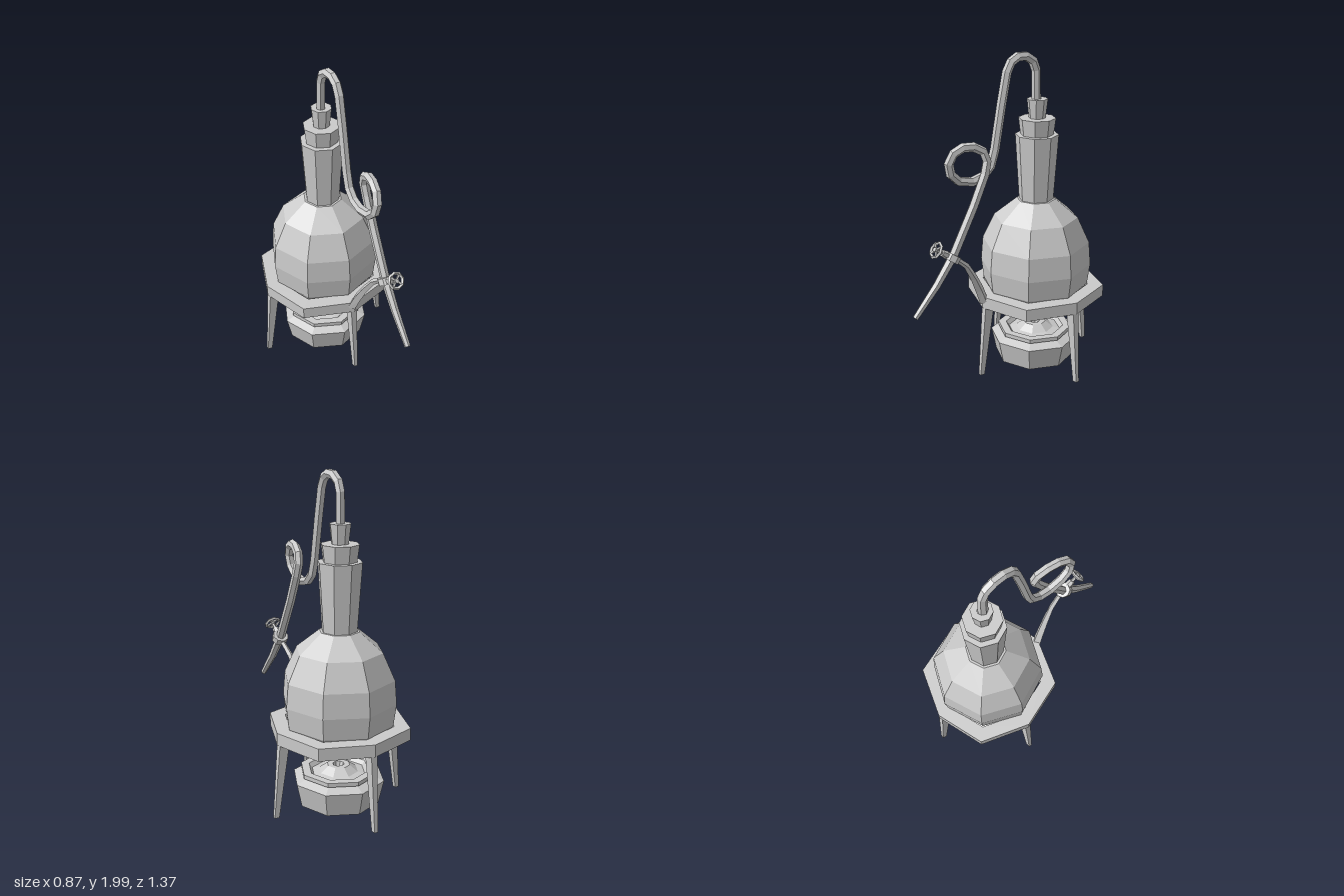
import * as THREE from 'three';

const mat = new THREE.MeshStandardMaterial({ color: 0xcccccc, flatShading: true, side: THREE.DoubleSide });
const AXIS_Z = -0.25;

function add(parent, name, geometry, x = 0, y = 0, z = 0) {
  const mesh = new THREE.Mesh(geometry, mat);
  mesh.name = name;
  mesh.position.set(x, y, z);
  parent.add(mesh);
  return mesh;
}

// Eight-sided turned part, profile given as [radius, height] from the bottom up
function turned(profile) {
  return new THREE.LatheGeometry(profile.map(([r, y]) => new THREE.Vector2(r, y)), 8);
}

// Faceted tube passing exactly through its points, with a radius at each one
function sweep(points, radiusAt, sides) {
  const pts = points.map((p) => new THREE.Vector3(...p));
  const curve = new THREE.CatmullRomCurve3(pts);
  curve.getPointAt = curve.getPoint;
  curve.getTangentAt = curve.getTangent;
  const geo = new THREE.TubeGeometry(curve, pts.length - 1, 1, sides);
  const pos = geo.attributes.position;
  const v = new THREE.Vector3();
  for (let i = 0; i < pos.count; i++) {
    const row = Math.floor(i / (sides + 1));
    v.fromBufferAttribute(pos, i).sub(pts[row]).multiplyScalar(radiusAt(row)).add(pts[row]);
    pos.setXYZ(i, v.x, v.y, v.z);
  }
  return geo;
}

// Octagon with separate radii on the axes and on the diagonals
function octagon(onAxis, onDiagonal) {
  return Array.from({ length: 8 }, (_, i) => {
    const r = i % 2 ? onDiagonal : onAxis;
    const a = (i * Math.PI) / 4;
    return new THREE.Vector2(r * Math.cos(a), r * Math.sin(a));
  });
}

export function createModel() {
  const model = new THREE.Group();
  model.name = 'distillingApparatus';

  const column = new THREE.Group();
  column.name = 'flaskAndStand';
  column.position.z = AXIS_Z;
  model.add(column);

  // Flask with its flared neck
  add(column, 'flask', turned([
    [0, 0.385], [0.17, 0.385], [0.265, 0.435], [0.33, 0.54], [0.346, 0.67], [0.334, 0.815],
    [0.26, 0.975], [0.12, 1.09], [0.106, 1.09], [0.132, 1.495], [0.1, 1.495], [0.09, 1.44],
  ]));

  // Stopper and the sleeve that holds the tube
  add(column, 'stopper', turned([[0, 1.43], [0.092, 1.43], [0.113, 1.595], [0, 1.595]]));
  add(column, 'sleeve', turned([[0.05, 1.59], [0.063, 1.71], [0.025, 1.71]]));

  // Stand ring
  const ring = new THREE.Shape(octagon(0.408, 0.432));
  ring.holes.push(new THREE.Path(octagon(0.32, 0.335)));
  const ringGeo = new THREE.ExtrudeGeometry(ring, { depth: 0.075, bevelEnabled: false });
  add(column, 'standRing', ringGeo.rotateX(-Math.PI / 2), 0, 0.458, 0);

  // Four tapered, splayed legs
  for (let i = 0; i < 4; i++) {
    const geo = new THREE.BoxGeometry(1, 1, 1);
    const pos = geo.attributes.position;
    for (let j = 0; j < pos.count; j++) {
      const top = pos.getY(j) > 0;
      const depth = pos.getX(j) * (top ? 0.058 : 0.028);
      // the leg is a little wider on its inner face
      const width = pos.getZ(j) * (top ? 0.046 : 0.026) * (pos.getX(j) < 0 ? 1.1 : 0.85);
      pos.setXYZ(j, (top ? 0.37 : 0.421) + depth, top ? 0.465 : 0, width);
    }
    add(column, 'leg', geo).rotation.y = (i * Math.PI) / 2;
  }

  // Burner with a lipped, dished top and a raised nozzle
  add(column, 'burner', turned([
    [0, 0], [0.18, 0], [0.25, 0.03], [0.282, 0.175], [0.22, 0.2], [0.235, 0.205], [0.235, 0.23],
    [0.185, 0.23], [0.165, 0.205], [0.12, 0.215], [0.07, 0.252], [0.035, 0.252], [0.025, 0.225], [0, 0.225],
  ]));

  // Glass tube: over the top, once round the loop, then down to the tip
  const path = [
    [-0.005, 1.65, -0.245], [-0.005, 1.88, -0.24], [-0.005, 1.935, -0.217], [-0.005, 1.968, -0.164],
    [-0.005, 1.97, -0.105], [-0.005, 1.945, -0.058], [-0.005, 1.89, -0.028], [-0.005, 1.71, 0.01],
    [-0.005, 1.45, 0.058], [-0.005, 1.355, 0.088], [-0.005, 1.302, 0.143], [-0.005, 1.283, 0.222],
    [-0.005, 1.305, 0.315], [-0.003, 1.355, 0.368], [0.002, 1.42, 0.383], [0.012, 1.478, 0.355],
    [0.022, 1.505, 0.3], [0.033, 1.502, 0.235], [0.045, 1.468, 0.175], [0.053, 1.41, 0.155],
    [0.058, 1.335, 0.175], [0.058, 1.16, 0.255], [0.058, 0.89, 0.4], [0.058, 0.73, 0.52],
    [0.058, 0.565, 0.67], [0.058, 0.563, 0.672],
  ];
  const tip = { 23: 0.024, 24: 0.018, 25: 0 };
  add(model, 'glassTube', sweep(path, (row) => tip[row] ?? 0.028, 6));

  // Curved bracket from the stand ring up to the clamp
  const bracketRadii = [0, 0.033, 0.028, 0.023, 0.018, 0.014];
  add(model, 'bracket', sweep([
    [-0.008, 0.488, 0.14], [-0.008, 0.49, 0.139], [0.006, 0.595, 0.185], [0.022, 0.69, 0.235],
    [0.042, 0.79, 0.3], [0.058, 0.868, 0.39],
  ], (row) => bracketRadii[row], 4));

  // Clamp: local z runs along the tube, local y along the screw
  const clamp = new THREE.Group();
  clamp.name = 'clamp';
  clamp.position.set(0.058, 0.878, 0.412);
  clamp.rotation.x = 0.97;
  model.add(clamp);
  add(clamp, 'collar', new THREE.CylinderGeometry(0.05, 0.05, 0.042, 8).rotateX(Math.PI / 2));
  add(clamp, 'screwSocket', new THREE.CylinderGeometry(0.02, 0.024, 0.04, 6), 0, 0.06, 0);
  add(clamp, 'screw', new THREE.CylinderGeometry(0.01, 0.01, 0.1, 6), 0, 0.09, 0);

  // Hand wheel with a hub and crossed spokes
  const wheel = new THREE.Group();
  wheel.name = 'handWheel';
  wheel.position.y = 0.128;
  clamp.add(wheel);
  add(wheel, 'wheelRim', new THREE.TorusGeometry(0.045, 0.01, 4, 8).rotateX(Math.PI / 2));
  add(wheel, 'wheelHub', new THREE.CylinderGeometry(0.014, 0.014, 0.028, 6));
  for (let i = 0; i < 2; i++) {
    add(wheel, 'wheelSpoke', new THREE.BoxGeometry(0.088, 0.009, 0.012)).rotation.y = (i * Math.PI) / 2 + Math.PI / 4;
  }

  return model;
}
